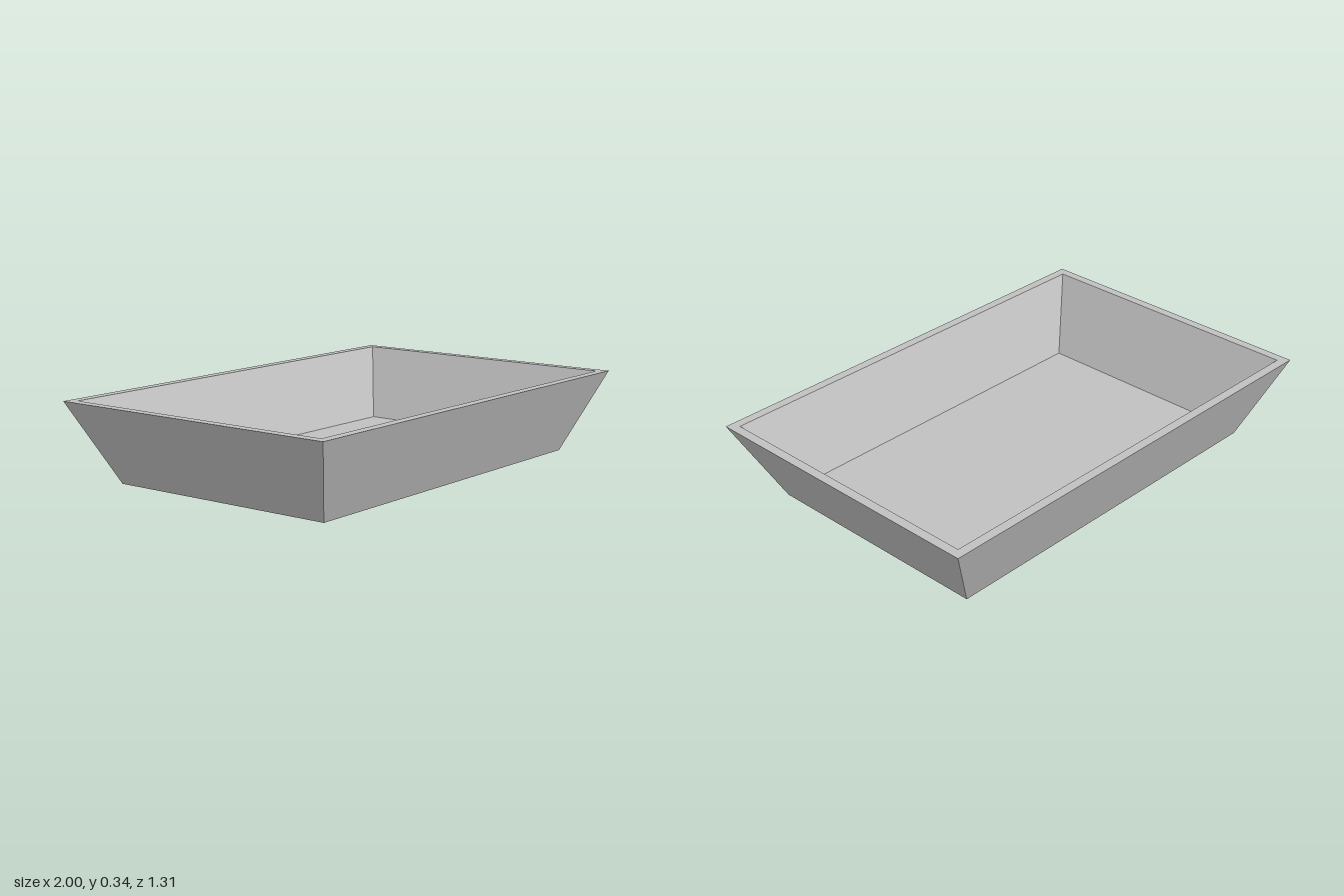
import * as THREE from 'three';

// Rectangular rings: [half width, half depth, height], from outer base over the rim to inner floor
const RINGS = {
  base: [0.825, 0.517, 0],
  rimOuter: [1, 0.656, 0.345],
  rimInner: [0.96, 0.616, 0.345],
  floor: [0.785, 0.477, 0.042],
};

// Four corners, counter-clockwise seen from above
const corners = ([x, z, y]) => [[-x, y, z], [x, y, z], [x, y, -z], [-x, y, -z]];

// Flat-shaded mesh from a list of four-cornered faces
function quadMesh(name, quads, material) {
  const positions = quads.flatMap(([a, b, c, d]) => [a, b, c, a, c, d].flat());
  const geometry = new THREE.BufferGeometry();
  geometry.setAttribute('position', new THREE.Float32BufferAttribute(positions, 3));
  geometry.computeVertexNormals();
  const mesh = new THREE.Mesh(geometry, material);
  mesh.name = name;
  return mesh;
}

// Four faces joining one ring to the next
function band(from, to) {
  const a = corners(from), b = corners(to);
  return a.map((corner, i) => {
    const j = (i + 1) % 4;
    return [corner, a[j], b[j], b[i]];
  });
}

export function createModel() {
  const group = new THREE.Group();
  group.name = 'tray';
  const grey = new THREE.MeshStandardMaterial({ color: 0xc0c0c0 });
  grey.name = 'light grey';

  const { base, rimOuter, rimInner, floor } = RINGS;
  group.add(
    quadMesh('underside', [corners(base).reverse()], grey),
    quadMesh('outerWalls', band(base, rimOuter), grey),
    quadMesh('rim', band(rimOuter, rimInner), grey),
    quadMesh('innerWalls', band(rimInner, floor), grey),
    quadMesh('floor', [corners(floor)], grey),
  );
  return group;
}
